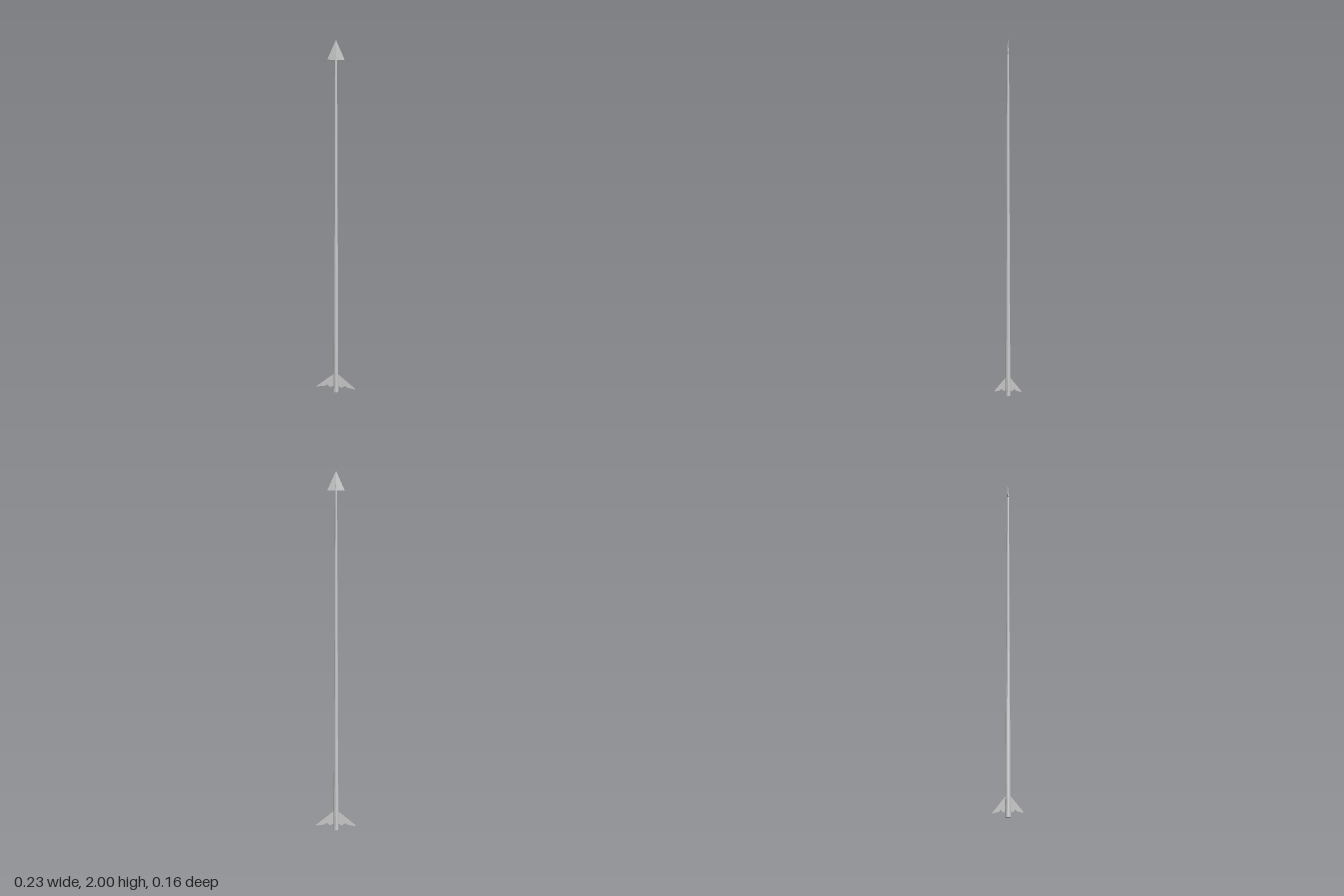
import * as THREE from 'three';

export function createModel() {
  const group = new THREE.Group();
  const mat = new THREE.MeshStandardMaterial({ color: 0xcccccc, flatShading: true, side: THREE.DoubleSide });
  const add = (geometry, name) => {
    const mesh = new THREE.Mesh(geometry, mat);
    mesh.name = name;
    group.add(mesh);
    return mesh;
  };

  // Tapered shaft, running up into the head
  const shaft = new THREE.CylinderGeometry(0.006, 0.014, 1.93, 12);
  shaft.translate(0, 0.965, 0);
  add(shaft, 'shaft');

  // Flat, diamond-section point
  const head = new THREE.ConeGeometry(0.046, 0.1, 4);
  head.scale(1, 1, 0.13);
  head.translate(0, 1.95, 0);
  add(head, 'arrowHead');

  // Four swept fins with a notched trailing edge: wide pair on x, narrow pair on z
  for (let i = 0; i < 4; i++) {
    const span = i % 2 ? 0.078 : 0.115;
    const outline = [[0, 0.118], [0.12, 0.11], [1, 0.025], [0.96, 0.021], [0.58, 0.029],
      [0.47, 0.039], [0.3, 0.024], [0.12, 0.034], [0, 0.034]];
    const shape = new THREE.Shape(outline.map(([u, y]) => new THREE.Vector2(u * span, y)));
    const fin = add(new THREE.ShapeGeometry(shape), 'fin' + (i + 1));
    fin.rotation.y = i * Math.PI / 2;
  }
  return group;
}
